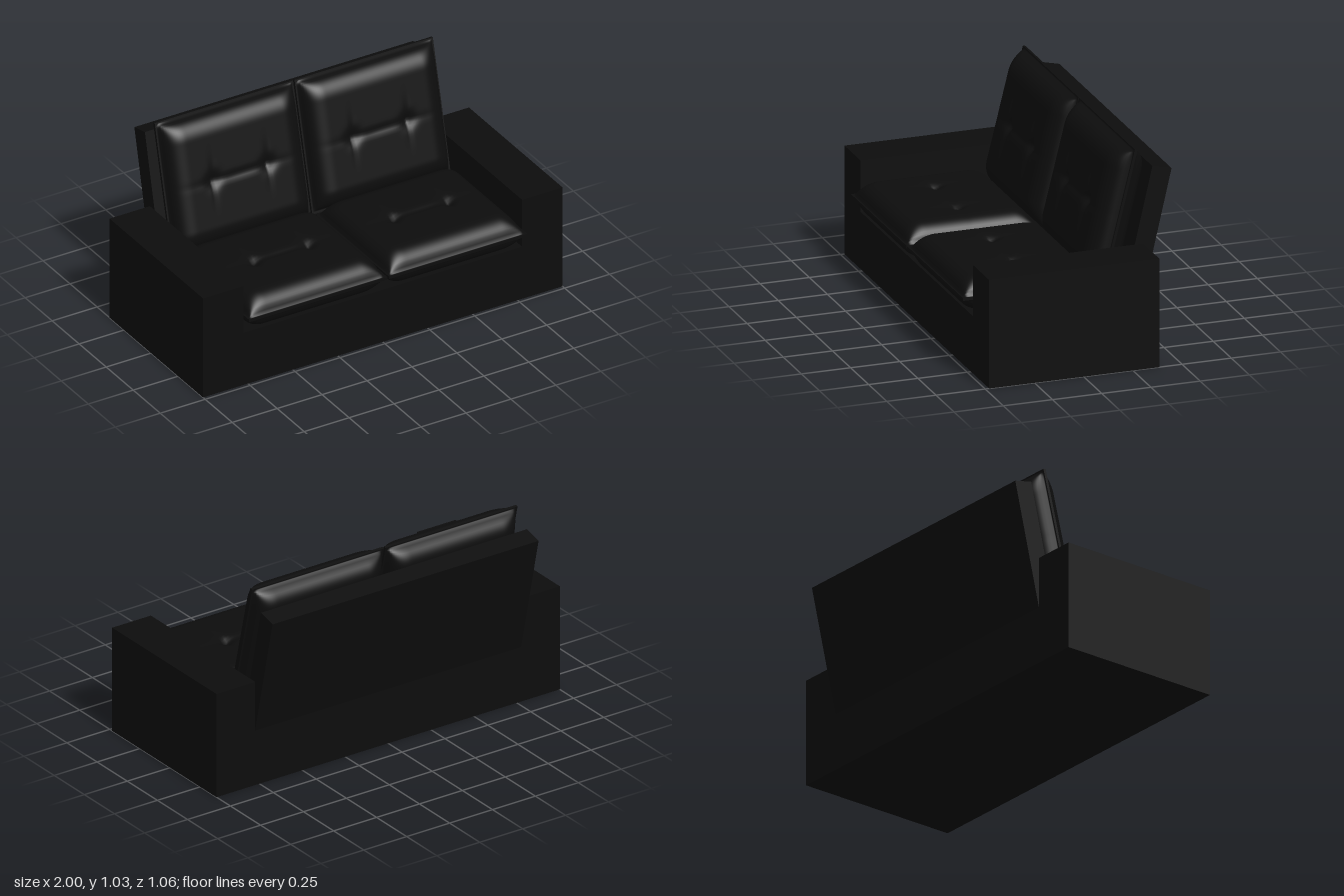
import * as THREE from 'three';

const CUSHION_W = 0.77, CUSHION_L = 0.68, HALF_THICK = 0.09;
const RIM = 0.014, RIM_HALF = 0.007, ROUND = 0.1;

// Rounded rise from the edge seam towards the middle of the cushion, 0 to 1
function rise(d) {
  const t = THREE.MathUtils.clamp((d - RIM) / ROUND, 0, 1);
  return Math.sqrt(1 - (1 - t) ** 2);
}

const bump = (a, b, ra, rb) => Math.exp(-((a / ra) ** 2) - (b / rb) ** 2);

// Half thickness of the tufted cushion at a point on its plane
function halfThickness(x, z) {
  const r = rise(CUSHION_W / 2 - Math.abs(x)) * rise(CUSHION_L / 2 - Math.abs(z));
  let dip = 0.008 * bump(x, z, 0.2, 0.016);
  for (const tx of [-0.152, 0.152]) {
    dip += 0.02 * bump(x - tx, z, 0.035, 0.035);
    dip += 0.007 * bump(x - tx, z, 0.012, 0.09);
  }
  return RIM_HALF + (HALF_THICK - RIM_HALF) * r - dip;
}

// Pillow lying in the xz plane, with a thin seam all round
function cushionGeometry() {
  const g = new THREE.BoxGeometry(2, 2, 2, 64, 1, 64);
  const p = g.attributes.position;
  // Rows are packed closer together near the edges
  const pack = (t) => 0.45 * t + 0.55 * Math.sin((t * Math.PI) / 2);
  for (let i = 0; i < p.count; i++) {
    const x = (pack(p.getX(i)) * CUSHION_W) / 2;
    const z = (pack(p.getZ(i)) * CUSHION_L) / 2;
    p.setXYZ(i, x, Math.sign(p.getY(i)) * halfThickness(x, z), z);
  }
  g.computeVertexNormals();
  return g;
}

export function createModel() {
  const sofa = new THREE.Group();
  sofa.name = 'sofa';
  const leather = new THREE.MeshStandardMaterial({ color: 0x0d0d0d });
  leather.name = 'black leather';

  function add(name, geometry, x, y, z, tilt = 0) {
    const mesh = new THREE.Mesh(geometry, leather);
    mesh.name = name;
    mesh.position.set(x, y, z);
    mesh.rotation.x = tilt;
    sofa.add(mesh);
  }

  // Frame
  add('base', new THREE.BoxGeometry(1.55, 0.29, 0.865), 0, 0.145, 0.0475);
  add('backPanel', new THREE.BoxGeometry(1.55, 0.69, 0.1), 0, 0.59, -0.403, -0.227);

  // Arms and cushions, one of each per side
  const arm = new THREE.BoxGeometry(0.225, 0.55, 0.865);
  const cushion = cushionGeometry();
  for (const [side, s] of [['left', 1], ['right', -1]]) {
    add(side + 'Arm', arm, s * 0.8875, 0.275, 0.0475);
    add(side + 'SeatCushion', cushion, s * 0.389, 0.38, 0.19);
    add(side + 'BackCushion', cushion, s * 0.389, 0.7, -0.268, Math.PI / 2 - 0.244);
  }
  return sofa;
}
